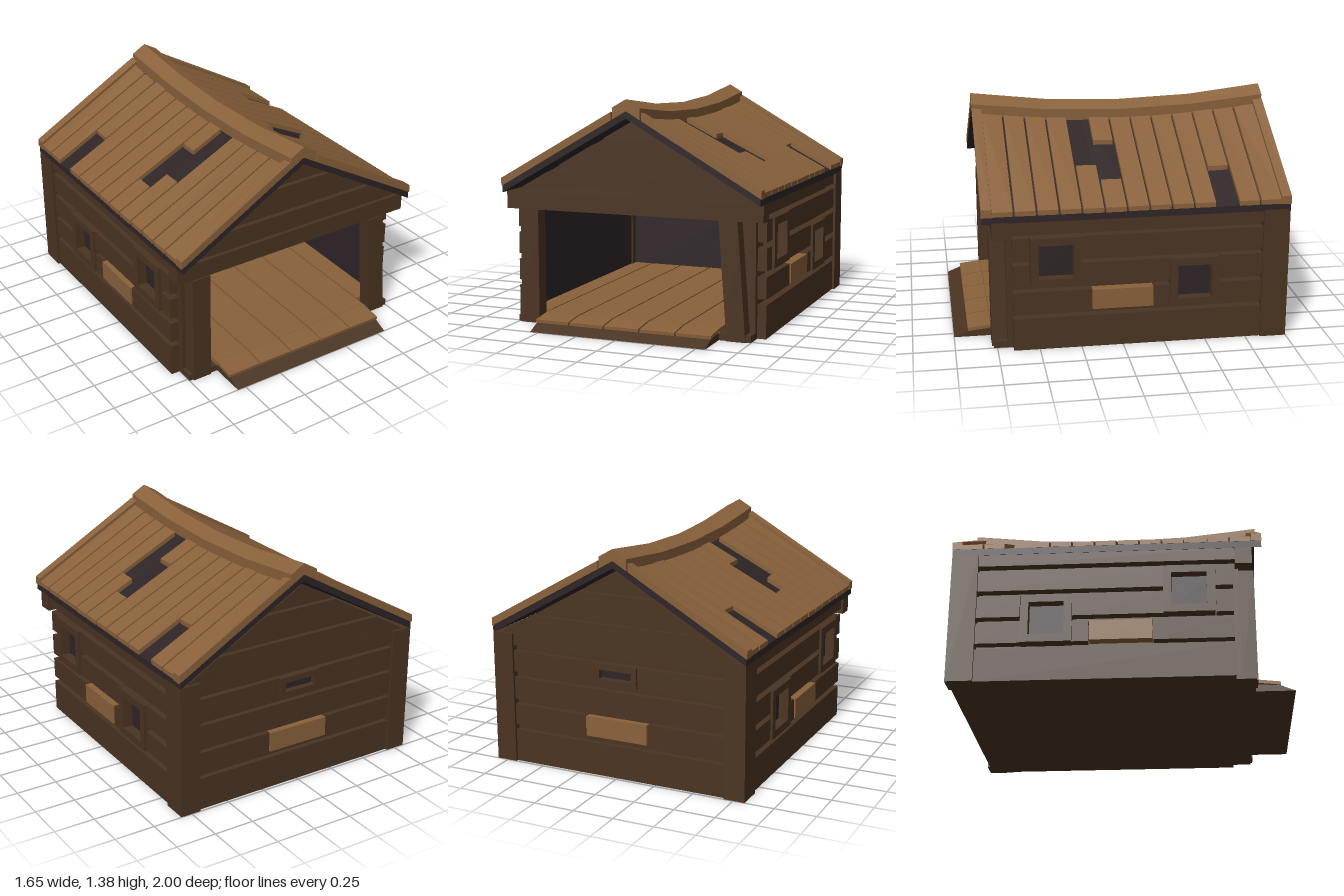
import * as THREE from 'three';

export function createModel() {
  const model = new THREE.Group();
  model.name = 'woodenShed';

  const mat = (name, color) => {
    const m = new THREE.MeshStandardMaterial({ color });
    m.name = name;
    return m;
  };
  const wall = mat('darkTimber', 0x4a3422);
  const plank = mat('lightPlank', 0x89613b);
  const dark = mat('shadowTimber', 0x2e2426);

  const add = (name, geometry, material, parent = model) => {
    const mesh = new THREE.Mesh(geometry, material);
    mesh.name = name;
    parent.add(mesh);
    return mesh;
  };

  // Box given by its limits along each axis
  const box = (name, material, x0, x1, y0, y1, z0, z1) => {
    const g = new THREE.BoxGeometry(Math.abs(x1 - x0), y1 - y0, Math.abs(z1 - z0));
    g.translate((x0 + x1) / 2, (y0 + y1) / 2, (z0 + z1) / 2);
    return add(name, g, material);
  };

  // Outline extruded forward from z
  const extrude = (name, material, points, z, depth) => {
    const shape = new THREE.Shape(points.map(([x, y]) => new THREE.Vector2(x, y)));
    const g = new THREE.ExtrudeGeometry(shape, { depth, bevelEnabled: false });
    g.translate(0, 0, z);
    return add(name, g, material);
  };

  // Framed opening with a dark pane, facing local +z
  const windowFrame = (name, w, h, rim, depth) => {
    const group = new THREE.Group();
    group.name = name;
    const a = w / 2, b = h / 2, c = a - rim, d = b - rim;
    const shape = new THREE.Shape([[-a, -b], [a, -b], [a, b], [-a, b]].map(p => new THREE.Vector2(...p)));
    shape.holes.push(new THREE.Path([[-c, -d], [-c, d], [c, d], [c, -d]].map(p => new THREE.Vector2(...p))));
    add('frame', new THREE.ExtrudeGeometry(shape, { depth, bevelEnabled: false }), wall, group);
    const pane = new THREE.BoxGeometry(c * 2, d * 2, 0.008);
    add('pane', pane.translate(0, 0, 0.005), dark, group);
    model.add(group);
    return group;
  };

  // Base, floor planks and entrance ramp
  box('base', wall, -0.75, 0.75, 0, 0.04, -0.95, 0.77);
  const pitch = 0.226;
  for (let i = -3; i <= 3; i++) {
    const x0 = Math.max(i * pitch - 0.108, -0.7), x1 = Math.min(i * pitch + 0.108, 0.7);
    box('floorPlank', plank, x0, x1, 0.04, 0.072, -0.9, Math.abs(i) < 3 ? 0.775 : 0.69);
  }
  const ramp = new THREE.Shape([[0.77, 0], [1, 0], [0.915, 0.035], [0.77, 0.045]].map(p => new THREE.Vector2(...p)));
  const rampGeo = new THREE.ExtrudeGeometry(ramp, { depth: 1.11, bevelEnabled: false });
  rampGeo.rotateY(-Math.PI / 2).translate(0.555, 0, 0);
  add('ramp', rampGeo, wall);
  for (let i = -2; i <= 2; i++) {
    const g = new THREE.BoxGeometry(0.216, 0.02, 0.14);
    g.rotateX(0.11).translate(i * pitch, 0.055, 0.846);
    add('rampPlank', g, plank);
  }

  // Side walls: boards split around the windows and the patch
  const rows = [
    [0.0, 0.2, [[0.655, -0.84]]],
    [0.235, 0.365, [[0.655, 0.19], [-0.185, -0.28], [-0.58, -0.84]]],
    [0.4, 0.535, [[0.655, 0.555], [0.25, -0.28], [-0.585, -0.84]]],
    [0.57, 0.7, [[0.655, 0.555], [0.25, -0.84]]],
    [0.735, 0.81, [[0.67, -0.84]]],
  ];
  for (const s of [1, -1]) {
    box('sideWall', wall, s * 0.72, s * 0.75, 0, 0.81, -0.95, 0.69);
    box('sideLining', dark, s * 0.7, s * 0.72, 0.04, 0.81, -0.93, 0.655);
    for (const [y0, y1, spans] of rows)
      for (const [z0, z1] of spans) box('sideBoard', wall, s * 0.75, s * 0.805, y0, y1, z0, z1);
    box('sidePatch', plank, s * 0.75, s * 0.812, 0.24, 0.362, 0.185, -0.18);
    for (const [z, y] of [[0.4, 0.55], [-0.43, 0.383]]) {
      const w = windowFrame('sideWindow', 0.3, 0.3, 0.047, 0.07);
      w.position.set(s * 0.75, y, z);
      w.rotation.y = s * Math.PI / 2;
    }
    box('rearCornerPost', wall, s * 0.69, s * 0.82, 0, 0.81, -0.998, -0.84);
    box('frontJamb', wall, s * 0.655, s * 0.75, 0, 0.7, 0.655, 0.69);
  }

  // Back wall
  box('backWall', wall, -0.72, 0.72, 0, 0.81, -0.95, -0.92);
  box('backLining', dark, -0.7, 0.7, 0.04, 0.81, -0.92, -0.9);
  const backRows = [
    [0, 0.2, [[-0.69, 0.69]]],
    [0.235, 0.365, [[-0.69, -0.205], [0.205, 0.69]]],
    [0.4, 0.535, [[-0.69, 0.69]]],
    [0.57, 0.7, [[-0.69, -0.14], [0.14, 0.69]]],
    [0.735, 0.81, [[-0.69, 0.69]]],
  ];
  for (const [y0, y1, spans] of backRows)
    for (const [x0, x1] of spans) box('backBoard', wall, x0, x1, y0, y1, -0.982, -0.95);
  box('backPatch', plank, -0.2, 0.2, 0.24, 0.362, -0.988, -0.95);
  const vent = windowFrame('backVent', 0.28, 0.13, 0.037, 0.045);
  vent.position.set(0, 0.635, -0.95);
  vent.rotation.y = Math.PI;
  for (const y of [0.47, 0.605]) box('innerRail', plank, -0.7, 0.7, y, y + 0.06, -0.9, -0.87);

  // Front beam, straight post and leaning post
  box('frontBeam', wall, -0.82, 0.82, 0.7, 0.808, 0.67, 0.77);
  box('frontPost', wall, -0.725, -0.605, 0, 0.7, 0.69, 0.78);
  const lean = new THREE.BoxGeometry(0.115, 0.7, 0.09);
  const lp = lean.attributes.position;
  for (let i = 0; i < lp.count; i++) lp.setX(i, lp.getX(i) + (lp.getY(i) > 0 ? 0.61 : 0.662));
  lean.translate(0, 0.35, 0.735);
  lean.computeVertexNormals();
  add('leaningPost', lean, wall);

  // Gables: a triangle behind with tapered boards in front
  const half = y => Math.max(0, (1.25 - y) / 0.573);
  const gable = (y0, y1) => [[-half(y0), y0], [half(y0), y0], [half(y1), y1], [-half(y1), y1]];
  for (const [backZ, boardZ] of [[0.69, 0.72], [-0.95, -0.98]]) {
    extrude('gable', wall, gable(0.8, 1.25).slice(0, 3), backZ, 0.03);
    for (const [y0, y1] of [[0.81, 0.93], [0.975, 1.11]])
      extrude('gableBoard', wall, gable(y0, y1), boardZ, 0.03);
    extrude('gableTop', wall, gable(1.145, 1.25).slice(0, 3), boardZ, 0.03);
  }

  // Roof surface: straight eaves and a sagging ridge
  const roofY = (x, z) => {
    const peak = 1.315 - 0.07 * (1 - ((z + 0.085) / 0.915) ** 2);
    return peak + (0.845 - peak) * Math.abs(x) / 0.82;
  };
  // Slab laid on the roof surface between two offsets
  const slab = (name, material, s, x0, x1, z0, z1, low, high, segments = 1) => {
    let g = new THREE.BoxGeometry(x1 - x0, 1, z1 - z0, 1, 1, segments);
    g.translate(s * (x0 + x1) / 2, 0, (z0 + z1) / 2);
    const p = g.attributes.position;
    for (let i = 0; i < p.count; i++)
      p.setY(i, roofY(p.getX(i), p.getZ(i)) + (p.getY(i) > 0 ? high : low));
    g = g.toNonIndexed();
    g.computeVertexNormals();
    add(name, g, material);
  };
  // Broken planks, by row from the back
  const broken = { 2: [[0.1, 0.55]], 7: [[0.1, 0.295], [0.61, 0.825]], 8: [[0.495, 0.825]] };
  for (const s of [1, -1]) {
    slab('roofDeck', dark, s, 0, 0.82, -0.998, 0.828, -0.042, 0, 8);
    for (let i = 0; i < 13; i++) {
      const z = -0.94 + i * 0.1323;
      for (const [x0, x1] of broken[i] || [[0.105, 0.823]])
        slab('roofPlank', plank, s, x0, x1, z, z + 0.12, 0.001, 0.03);
    }
    for (const z of [-1, 0.77]) slab('roofEdgePlank', plank, s, 0.095, 0.826, z, z + 0.06, 0.001, 0.05);
    slab('ridgeCap', plank, s, 0, 0.088, -1, 0.83, 0.001, 0.07, 4);
  }
  return model;
}
